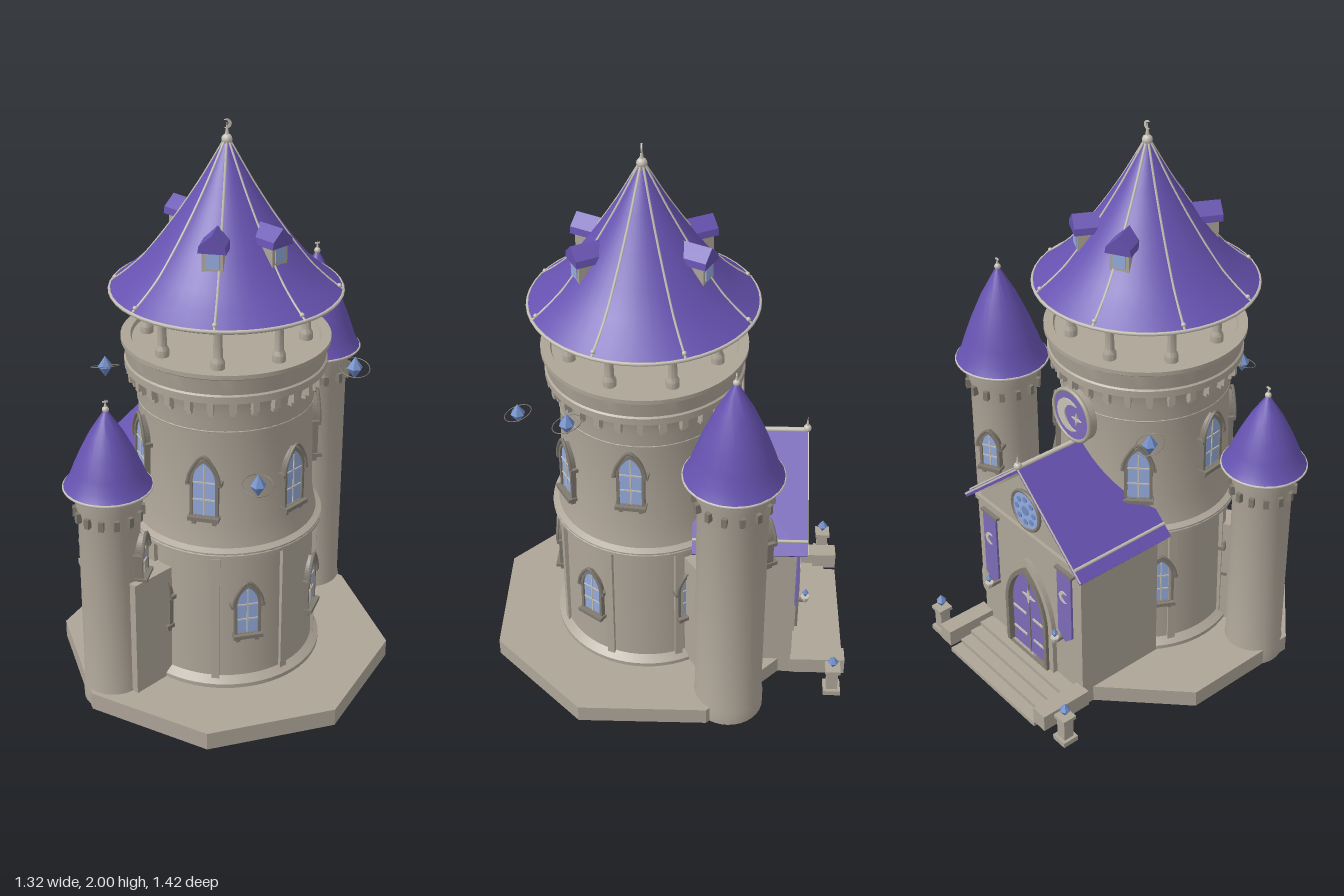
import * as THREE from 'three';
import { toCreasedNormals } from 'three/addons/utils/BufferGeometryUtils.js';

const mat = (name, color, extra = {}) => Object.assign(new THREE.MeshStandardMaterial({ color, ...extra }), { name });
const RAD = Math.PI / 180;

export function createModel() {
  const stone = mat('stone', 0xaea598);
  const trim = mat('trimStone', 0x807a70);
  const pale = mat('paleStone', 0xc6c1b6);
  const purple = mat('roofPurple', 0x6652b0, { side: THREE.DoubleSide });
  const cloth = mat('clothPurple', 0x7c6bb8);
  const glass = mat('windowGlass', 0x94abdd);
  const gem = mat('crystalBlue', 0x6f8cc6, { flatShading: true });

  const model = new THREE.Group();
  model.name = 'castle';
  const castle = new THREE.Group();
  castle.name = 'castleBody';
  castle.position.set(-0.035, 0, 0.11);
  castle.rotation.y = 154.1 * RAD; // the gate side is local +z
  model.add(castle);

  // Helpers
  const add = (parent, name, geo, m, x = 0, y = 0, z = 0) => {
    const o = new THREE.Mesh(geo, m);
    o.name = name;
    o.position.set(x, y, z);
    parent.add(o);
    return o;
  };
  const box = (p, name, m, w, h, d, x, y, z) => add(p, name, new THREE.BoxGeometry(w, h, d), m, x, y, z);
  const ball = (p, name, m, r, x, y, z) => add(p, name, new THREE.SphereGeometry(r, 12, 8), m, x, y, z);
  const v2 = (pts) => pts.map(([a, b]) => new THREE.Vector2(a, b));
  const lathe = (p, name, m, pts, seg = 48, x = 0, y = 0, z = 0) =>
    add(p, name, toCreasedNormals(new THREE.LatheGeometry(v2(pts), seg), 0.6), m, x, y, z);
  const extrude = (p, name, m, shape, depth, x = 0, y = 0, z = 0) =>
    add(p, name, new THREE.ExtrudeGeometry(shape, { depth, bevelEnabled: false, curveSegments: 10 }), m, x, y, z);
  const ring = (p, name, m, r, t, y) => {
    const o = add(p, name, new THREE.TorusGeometry(r, t, 6, 48), m, 0, y, 0);
    o.rotation.x = Math.PI / 2;
    return o;
  };
  const spot = (p, name, az, r, y) => {
    const g = new THREE.Group();
    g.name = name;
    g.position.set(Math.sin(az * RAD) * r, y, Math.cos(az * RAD) * r);
    g.rotation.y = az * RAD;
    p.add(g);
    return g;
  };
  const around = (n, start, fn) => { for (let i = 0; i < n; i++) fn(start + (360 * i) / n); };

  // Pointed arch outline, base on y = 0
  const arch = (w, h, Kind = THREE.Shape, y0 = 0) => {
    const s = new Kind(), a = w / 2, k = h - w * 0.85;
    s.moveTo(-a, y0);
    s.lineTo(a, y0);
    s.lineTo(a, k);
    s.quadraticCurveTo(a * 0.9, h - w * 0.3, 0, h);
    s.quadraticCurveTo(-a * 0.9, h - w * 0.3, -a, k);
    s.lineTo(-a, y0);
    return s;
  };
  const archFrame = (w, h, t) => {
    const s = arch(w + 2 * t, h + 1.4 * t);
    s.holes.push(arch(w, h, THREE.Path, 0.001));
    return s;
  };
  const circle = (r) => new THREE.Shape().absarc(0, 0, r, 0, Math.PI * 2);
  const crescent = (r) => {
    const s = new THREE.Shape();
    s.absarc(0, 0, r, 50 * RAD, 310 * RAD, false);
    s.absarc(0.45 * r, 0, 0.79 * r, 284.1 * RAD, 75.9 * RAD, true);
    return s;
  };
  const crystal = (p, r, h, x, y, z) => lathe(p, 'crystal', gem, [[0, -h / 2], [r, 0], [0, h / 2]], 6, x, y, z);
  const windowAt = (p, az, r, y, w = 0.077, h = 0.2) => {
    const g = spot(p, 'window', az, r, y);
    extrude(g, 'windowFrame', trim, archFrame(w, h, 0.01), 0.033, 0, 0, -0.018);
    extrude(g, 'windowPane', glass, arch(w, h), 0.008, 0, 0, 0);
    box(g, 'mullion', pale, 0.005, h * 0.92, 0.006, 0, h * 0.46, 0.008);
    for (const f of [0.3, 0.62]) box(g, 'glazingBar', pale, w, 0.005, 0.006, 0, h * f, 0.008);
    box(g, 'windowSill', trim, w + 0.03, 0.014, 0.05, 0, -0.007, 0.005);
    for (const s of [-1, 1]) {
      box(g, 'sillBracket', trim, 0.014, 0.02, 0.03, s * w * 0.45, -0.023, 0);
      box(g, 'hoodStop', trim, 0.014, 0.014, 0.04, s * (w / 2 + 0.016), h * 0.62, 0);
    }
    const pts = [[-1, 0.62], [-0.85, 0.82], [0, 1.13], [0.85, 0.82], [1, 0.62]]
      .map(([a, b]) => new THREE.Vector3(a * (w / 2 + 0.016), b * h, 0.018));
    add(g, 'hoodMould', new THREE.TubeGeometry(new THREE.CatmullRomCurve3(pts), 16, 0.006, 5), trim);
  };

  // Octagonal plinth
  const plinth = add(castle, 'plinth', new THREE.CylinderGeometry(0.597, 0.597, 0.065, 8).toNonIndexed(), stone, 0, 0.0325, 0);
  plinth.geometry.computeVertexNormals();
  plinth.rotation.y = 22.5 * RAD;

  // Main tower with parapet and balcony floor
  lathe(castle, 'mainTower', stone, [[0.345, 0.06], [0.345, 0.08], [0.317, 0.1], [0.312, 0.575], [0.34, 0.59], [0.34, 0.612],
    [0.32, 0.622], [0.305, 0.7], [0.298, 1.03], [0.306, 1.08], [0.306, 1.12], [0.318, 1.165], [0.343, 1.17], [0.343, 1.195],
    [0.337, 1.2], [0.346, 1.255], [0.353, 1.26], [0.353, 1.275], [0.32, 1.275], [0.315, 1.262], [0, 1.262]], 64);
  ring(castle, 'ledgeRing', pale, 0.336, 0.006, 0.603);
  ring(castle, 'upperRing', pale, 0.299, 0.004, 1.05);
  around(8, 22.5, (a) => box(spot(castle, 'pilaster', a, 0.312, 0.33), 'pilasterShaft', stone, 0.028, 0.5, 0.03, 0, 0, 0));
  around(28, 0, (a) => {
    const g = spot(castle, 'corbel', a, 0.318, 1.15);
    box(g, 'corbelBlock', stone, 0.022, 0.035, 0.038, 0, 0, 0);
    box(g, 'corbelFoot', stone, 0.016, 0.018, 0.022, 0, -0.026, -0.006);
  });
  for (const a of [45, 97, 150]) for (const s of [-1, 1]) windowAt(castle, s * a, 0.303, a === 97 ? 0.81 : 0.74);
  for (const a of [-126, -60, 60, 120, 177]) windowAt(castle, a, 0.314, a === -126 ? 0.263 : 0.28, 0.074, 0.185);

  // Balcony colonnade
  around(8, 22.5, (a) => lathe(spot(castle, 'balconyColumn', a, 0.268, 0), 'columnShaft', stone,
    [[0.023, 1.26], [0.023, 1.285], [0.016, 1.3], [0.014, 1.39], [0.023, 1.41], [0.023, 1.435]], 12));

  // Main roof
  const roofPts = [[0.387, 1.44], [0.335, 1.48], [0.28, 1.53], [0.215, 1.61], [0.15, 1.7], [0.085, 1.8], [0.01, 1.93]];
  lathe(castle, 'roofSoffit', stone, [[0, 1.43], [0.375, 1.425], [0.388, 1.432], [0.388, 1.442]], 48);
  lathe(castle, 'mainRoof', purple, roofPts, 48);
  ring(castle, 'eaveRing', pale, 0.385, 0.006, 1.438);
  const ribCurve = new THREE.CatmullRomCurve3(roofPts.map(([r, y]) => new THREE.Vector3(0, y, r)));
  around(8, 22.5, (a) => {
    const g = spot(castle, 'roofRib', a, 0, 0);
    add(g, 'rib', new THREE.TubeGeometry(ribCurve, 24, 0.0045, 5), pale);
    ball(g, 'ribKnob', pale, 0.008, 0, 1.455, 0.372);
  });
  const finial = (p, x, y, z, s) => {
    ball(p, 'finialBall', pale, 0.018 * s, x, y, z);
    add(p, 'finialSpike', new THREE.ConeGeometry(0.008 * s, 0.05 * s, 8), pale, x, y + 0.035 * s, z);
  };
  finial(castle, 0, 1.935, 0, 1);
  extrude(castle, 'finialMoon', pale, crescent(0.015), 0.005, 0, 1.985, -0.0025);

  // Dormers
  for (const a of [27.5, -27.5, 152.5, -152.5]) {
    const g = spot(castle, 'dormer', a, 0, 0);
    box(g, 'dormerBody', stone, 0.068, 0.1, 0.11, 0, 1.595, 0.185);
    box(g, 'dormerWindow', glass, 0.044, 0.05, 0.006, 0, 1.613, 0.241);
    const s = new THREE.Shape(v2([[-0.046, 1.64], [0.046, 1.64], [0.042, 1.663], [0, 1.7], [-0.042, 1.663]]));
    extrude(g, 'dormerRoof', purple, s, 0.12, 0, 0, 0.132);
  }

  // Side turrets joined to the tower by curtain walls
  const turret = (x, z, r, eave, R, H, winAz, winY, wallAz, wallH) => {
    const g = new THREE.Group();
    g.name = 'turret';
    g.position.set(x, 0, z);
    castle.add(g);
    lathe(g, 'turretShaft', stone, [[r * 1.04, 0], [r * 1.04, 0.06], [r, 0.075], [r, eave - 0.1], [r * 1.06, eave - 0.07], [r * 1.06, eave], [0, eave]], 32);
    around(14, 0, (a) => box(spot(g, 'turretCorbel', a, r * 1.06, eave - 0.098), 'corbelBlock', trim, 0.018, 0.035, 0.022, 0, 0, 0));
    const prof = [[1, 0], [0.88, 0.1], [0.78, 0.24], [0.62, 0.44], [0.38, 0.7], [0.17, 0.88], [0.03, 1]];
    lathe(g, 'turretSoffit', stone, [[0, eave - 0.005], [R, eave - 0.005]], 24);
    ring(g, 'turretEaveRing', pale, R * 0.99, 0.005, eave - 0.003);
    lathe(g, 'turretRoof', purple, prof.map(([a, b]) => [a * R, eave + b * H]), 24);
    finial(g, 0, eave + H, 0, 0.65);
    box(g, 'finialCross', pale, 0.018, 0.005, 0.005, 0, eave + H + 0.028, 0);
    windowAt(g, winAz, r + 0.004, winY, 0.06, 0.14);
    box(spot(castle, 'curtainWall', wallAz, 0.38, wallH / 2), 'wall', stone, 0.09, wallH, 0.2, 0, 0, 0);
  };
  turret(0.453, -0.154, 0.104, 0.845, 0.149, 0.275, -119, 0.515, 119, 0.505);
  turret(-0.434, 0.306, 0.12, 1.05, 0.167, 0.36, 27, 0.65, -54.5, 0.545);

  // Gatehouse
  const gate = new THREE.Group();
  gate.name = 'gatehouse';
  castle.add(gate);
  extrude(gate, 'gatehouseBody', stone, new THREE.Shape(v2([[-0.29, 0], [0.29, 0], [0.29, 0.62], [0, 0.875], [-0.29, 0.62]])), 0.347, 0, 0, 0.19);
  box(gate, 'gableCornice', stone, 0.6, 0.018, 0.02, 0, 0.615, 0.54);
  for (const s of [-1, 1]) {
    const slab = box(gate, 'gatehouseRoof', purple, 0.445, 0.018, 0.4, s * 0.165, 0.755, 0.37);
    slab.rotation.z = -s * 41.3 * RAD;
    const rake = box(gate, 'rakeTrim', pale, 0.445, 0.007, 0.006, s * 0.165, 0.76, 0.57);
    rake.rotation.z = -s * 41.3 * RAD;
    const gutter = add(gate, 'roofSideBar', new THREE.CylinderGeometry(0.006, 0.006, 0.4, 6), pale, s * 0.3, 0.649, 0.37);
    gutter.rotation.x = Math.PI / 2;
    // Banner with rod and emblem
    const b = new THREE.Shape(v2([[-0.038, 0.575], [-0.038, 0.3], [0, 0.265], [0.038, 0.3], [0.038, 0.575]]));
    extrude(gate, 'banner', cloth, b, 0.008, s * 0.215, 0, 0.545);
    box(gate, 'bannerRod', trim, 0.095, 0.01, 0.016, s * 0.215, 0.578, 0.548);
    extrude(gate, 'bannerEmblem', pale, crescent(0.024), 0.004, s * 0.215, 0.47, 0.553);
    // Wall lantern
    box(gate, 'lanternBracket', trim, 0.015, 0.012, 0.05, s * 0.195, 0.275, 0.56);
    lathe(gate, 'lanternCup', pale, [[0.006, 0.265], [0.016, 0.285], [0.016, 0.292], [0, 0.292]], 8, s * 0.195, 0, 0.583);
    crystal(gate, 0.012, 0.04, s * 0.195, 0.31, 0.583);
  }
  const ridge = add(gate, 'roofRidge', new THREE.CylinderGeometry(0.009, 0.009, 0.4, 8), pale, 0, 0.908, 0.37);
  ridge.rotation.x = Math.PI / 2;
  finial(gate, 0, 0.915, 0.568, 0.8);

  // Door
  const door = new THREE.Group();
  door.name = 'door';
  door.position.set(0, 0.065, 0.537);
  gate.add(door);
  extrude(door, 'doorFrame', trim, archFrame(0.204, 0.38, 0.017), 0.03);
  extrude(door, 'outerDoorFrame', stone, archFrame(0.238, 0.404, 0.024), 0.018);
  extrude(door, 'doorLeaves', cloth, arch(0.204, 0.38), 0.008);
  box(door, 'doorSplit', trim, 0.005, 0.34, 0.006, 0, 0.17, 0.009);
  for (const y of [0.07, 0.17]) for (const s of [-1, 1]) box(door, 'doorHinge', pale, 0.075, 0.008, 0.006, s * 0.058, y, 0.01);
  const star = (r) => new THREE.Shape(Array.from({ length: 8 }, (_, i) => {
    const k = i % 2 ? r * 0.28 : r;
    return new THREE.Vector2(Math.sin(i * 45 * RAD) * k, Math.cos(i * 45 * RAD) * k);
  }));
  extrude(door, 'doorStar', pale, star(0.038), 0.005, 0, 0.265, 0.009);

  // Rose window in the gable
  extrude(gate, 'roseGlass', glass, circle(0.074), 0.008, 0, 0.715, 0.537);
  add(gate, 'roseFrame', new THREE.TorusGeometry(0.076, 0.007, 8, 32), trim, 0, 0.715, 0.543);
  extrude(gate, 'roseCentre', gem, circle(0.018), 0.004, 0, 0.715, 0.544);
  for (let i = 0; i < 8; i++) {
    const a = i * 45 * RAD;
    extrude(gate, 'rosePetal', gem, circle(0.011), 0.004, Math.sin(a) * 0.047, 0.715 + Math.cos(a) * 0.047, 0.544);
  }

  // Moon medallion on the tower above the gate
  const medal = spot(castle, 'moonMedallion', 0, 0.305, 1.02);
  const disc = add(medal, 'medallionBack', new THREE.CylinderGeometry(0.1, 0.1, 0.03, 32), stone, 0, 0, 0.012);
  disc.rotation.x = Math.PI / 2;
  add(medal, 'medallionRim', new THREE.TorusGeometry(0.096, 0.008, 8, 32), stone, 0, 0, 0.028);
  extrude(medal, 'medallionFace', cloth, circle(0.092), 0.004, 0, 0, 0.027);
  extrude(medal, 'medallionMoon', pale, crescent(0.062), 0.005, -0.008, 0, 0.031);
  extrude(medal, 'medallionStar', pale, star(0.026), 0.005, 0.032, 0, 0.031);

  // Stairs of separate slabs, side walls and lamp posts
  for (let i = 0; i < 4; i++) box(castle, 'step', stone, 0.51, 0.0163, 0.054, 0, 0.0569 - i * 0.0163, 0.568 + i * 0.046);
  for (const s of [-1, 1]) {
    box(castle, 'stairWall', stone, 0.063, 0.065, 0.2, s * 0.286, 0.0575, 0.633);
    const post = new THREE.Group();
    post.name = 'lampPost';
    post.position.set(s * 0.375, 0, 0.685);
    castle.add(post);
    box(post, 'postFoot', stone, 0.062, 0.02, 0.062, 0, 0.01, 0);
    box(post, 'postShaft', stone, 0.04, 0.09, 0.04, 0, 0.06, 0);
    box(post, 'postCap', stone, 0.055, 0.014, 0.055, 0, 0.108, 0);
    crystal(post, 0.02, 0.055, 0, 0.142, 0);
  }

  // Floating crystals with orbit rings, and the large one in the belvedere
  const floating = (x, y, z, r, h, R, tilts) => {
    const g = new THREE.Group();
    g.name = 'floatingCrystal';
    g.position.set(x, y, z);
    model.add(g);
    crystal(g, r, h, 0, 0, 0);
    for (const t of tilts) ring(g, 'orbitRing', trim, R, 0.0015, 0).rotation.set(Math.PI / 2 + t, t * 0.6, 0);
  };
  floating(-0.262, 0.935, 0.507, 0.027, 0.08, 0.05, [0.25]);
  floating(0.2, 1.195, 0.483, 0.027, 0.08, 0.05, [0.25]);
  floating(-0.228, 1.065, -0.306, 0.027, 0.08, 0.05, [-0.3]);
  floating(-0.035, 1.36, 0.11, 0.05, 0.13, 0.11, [0.35, -0.3]);

  return model;
}
